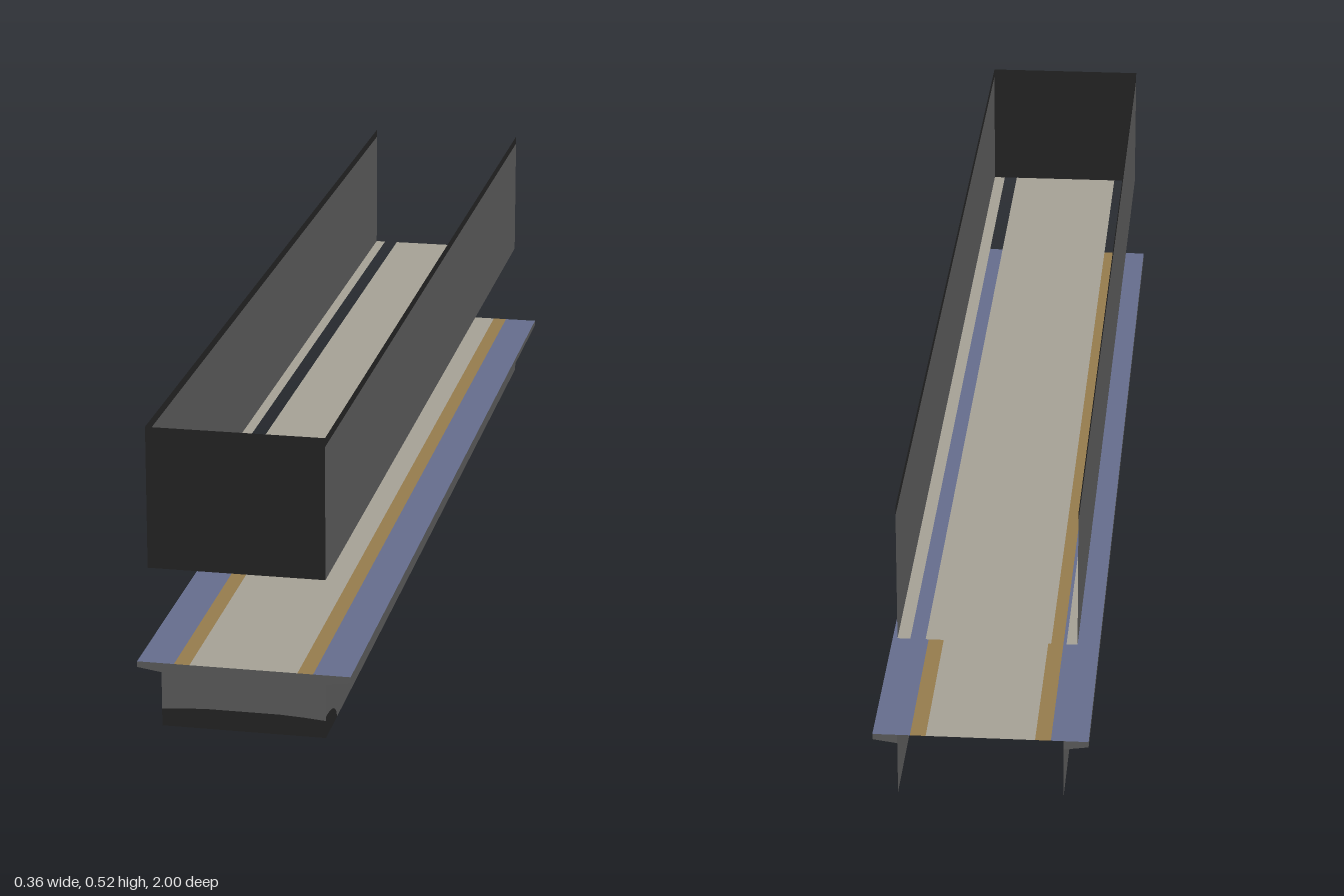
import * as THREE from 'three';

const mat = (name, color) =>
  new THREE.MeshStandardMaterial({ name, color, side: THREE.DoubleSide });

export function createModel() {
  const model = new THREE.Group();
  const grey = mat('grey', 0x5a5a5a);
  const black = mat('black', 0x232323);
  const beige = mat('beige', 0xa5a195);
  const blue = mat('blue', 0x656d8c);
  const ochre = mat('ochre', 0x957b4c);

  // Flat sheet from 2D points, mapped into space by place(u, v)
  function sheet(parent, name, material, points, place) {
    const shape = new THREE.Shape(points.map(([u, v]) => new THREE.Vector2(u, v)));
    const geo = new THREE.ShapeGeometry(shape);
    const pos = geo.attributes.position;
    for (let i = 0; i < pos.count; i++) {
      pos.setXYZ(i, ...place(pos.getX(i), pos.getY(i)));
    }
    geo.computeVertexNormals();
    const mesh = new THREE.Mesh(geo, material);
    mesh.name = name;
    parent.add(mesh);
  }
  const rect = (a, b, c, d) => [[a, c], [b, c], [b, d], [a, d]];
  const atX = (x) => (u, v) => (x > 0 ? [x, v, -u] : [x, v, u]);
  const atY = (y) => (u, v) => [u, y, -v];
  const atZ = (z) => (u, v) => [u, v, z];

  // Upper tray: slotted floor, two side walls, front cap; open top and back
  const tray = new THREE.Group();
  tray.name = 'upperTray';
  model.add(tray);
  const x0 = -0.157, x1 = 0.137, yb = 0.275, yt = 0.516, yBand = 0.501, zBack = -0.97;
  for (const [side, x] of [['right', x0], ['left', x1]]) {
    const [a, b] = x > 0 ? [-1, -zBack] : [zBack, 1];
    sheet(tray, side + 'TrayWall', grey, rect(a, b, yb, yBand), atX(x));
    sheet(tray, side + 'TrayRim', black, rect(a, b, yBand, yt), atX(x));
  }
  sheet(tray, 'trayFrontCap', black, rect(x0, x1, yb, yt), atZ(1));
  for (const [a, b] of [[x0, -0.139], [-0.114, 0.091], [0.116, x1]]) {
    sheet(tray, 'trayFloor', beige, rect(a, b, -1, -zBack), atY(yb));
  }

  // Lower channel: striped deck on a skirt that is open below and behind
  const channel = new THREE.Group();
  channel.name = 'lowerChannel';
  model.add(channel);
  const w = 0.137, deckY = 0.11, edge = 0.178, lip = 0.1, neck = 0.094;
  sheet(channel, 'deckCentre', beige, rect(-0.09, 0.09, -1, 1), atY(deckY));
  for (const s of [-1, 1]) {
    const band = (a, b) => (s > 0 ? rect(a, b, -1, 1) : rect(-b, -a, -1, 1));
    sheet(channel, 'deckStripe', ochre, band(0.09, 0.116), atY(deckY));
    sheet(channel, 'deckBorder', blue, band(0.116, edge), atY(deckY));

    // Flange edge, sloping underside and closed ends
    sheet(channel, 'flangeEdge', grey, rect(-1, 1, lip, deckY), atX(s * edge));
    sheet(channel, 'flangeUnderside', grey, rect(w, edge, -1, 1), (u, v) =>
      [s * u, neck + (lip - neck) * (u - w) / (edge - w), s * v]);
    for (const z of [-1, 1]) {
      const ends = [[w, neck], [edge, lip], [edge, deckY], [w, deckY]];
      sheet(channel, 'flangeEnd', grey, ends, (u, v) => [s * u, v, z]);
    }

    // Skirt side with a rounded dark patch at the front foot
    const arc = [];
    for (let i = 0; i <= 8; i++) {
      const t = (i / 8) * Math.PI / 2;
      arc.push([1 - 0.09 * Math.cos(t), 0.037 * Math.sin(t)]);
    }
    const sidePlace = (u, v) => [s * w, v, u];
    const wind = (p) => (s > 0 ? p : p.slice().reverse());
    sheet(channel, 'skirtSide', grey,
      wind([[-1, 0], ...arc, [1, deckY], [-1, deckY]]), sidePlace);
    sheet(channel, 'skirtFoot', black, wind([[1, 0], ...arc]), sidePlace);
  }

  // Skirt front, dark along the foot
  const line = [[-w, 0.03], [-0.1, 0.033], [-0.06, 0.035], [0.06, 0.035], [0.1, 0.033], [w, 0.03]];
  sheet(channel, 'skirtFront', grey, [...line, [w, deckY], [-w, deckY]], atZ(1));
  sheet(channel, 'skirtFrontFoot', black, [...line, [w, 0], [-w, 0]], atZ(1));

  // Outward normals on every sheet facing the wrong way
  model.traverse((m) => {
    if (!m.isMesh) return;
    const n = m.geometry.attributes.normal;
    m.geometry.computeBoundingBox();
    const c = m.geometry.boundingBox.getCenter(new THREE.Vector3());
    const v = new THREE.Vector3(n.getX(0), n.getY(0), n.getZ(0));
    const up = m.name === 'flangeUnderside' ? -1 : 1;
    const axis = Math.abs(v.y) > 0.5 ? v.y * up : v.x * c.x + v.z * c.z;
    if (axis < 0) {
      const idx = m.geometry.index;
      for (let i = 0; i < idx.count; i += 3) {
        const t = idx.getX(i);
        idx.setX(i, idx.getX(i + 1));
        idx.setX(i + 1, t);
      }
      m.geometry.computeVertexNormals();
    }
  });
  return model;
}
